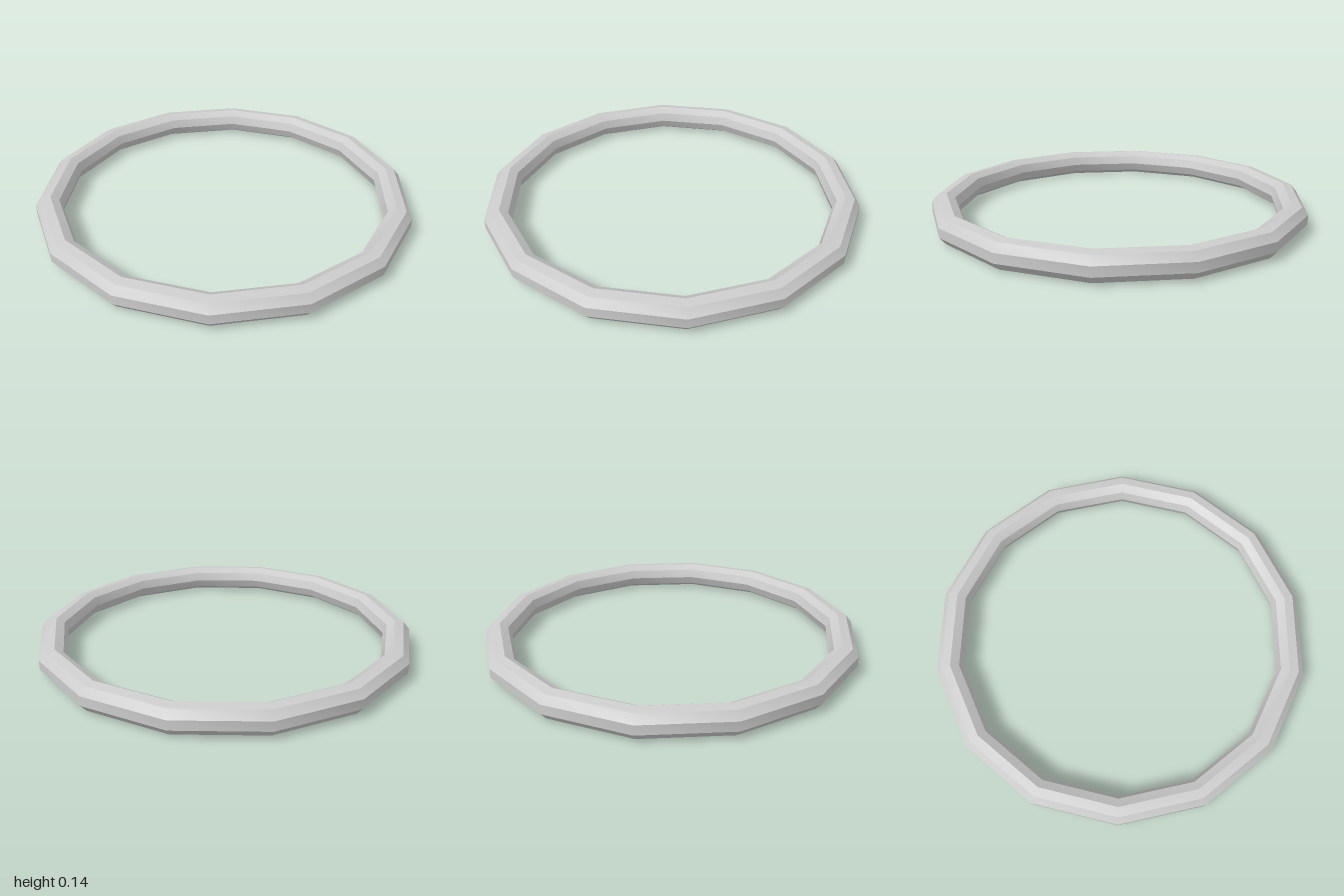
import * as THREE from 'three';
import { toCreasedNormals } from 'three/addons/utils/BufferGeometryUtils.js';

const RING_SIDES = 14;
const TUBE_SIDES = 9;
const TUBE_RADIUS = 0.0722;

export function createModel() {
  const group = new THREE.Group();
  group.name = 'ring';

  // Nine-sided cross-section with a flat face outward, closed on itself
  const step = (2 * Math.PI) / TUBE_SIDES;
  const centre = 1 - TUBE_RADIUS * Math.cos(step / 2);
  const lift = TUBE_RADIUS * Math.sin(2.5 * step);
  const profile = [];
  for (let i = 0; i <= TUBE_SIDES; i++) {
    const a = (i - 0.5) * step;
    profile.push(new THREE.Vector2(
      centre + TUBE_RADIUS * Math.cos(a),
      lift + TUBE_RADIUS * Math.sin(a)
    ));
  }

  // Swept around y with a corner on the x axis; smooth around the ring, creased across the tube
  const lathe = new THREE.LatheGeometry(profile, RING_SIDES, Math.PI / 2);
  const band = new THREE.Mesh(
    toCreasedNormals(lathe, THREE.MathUtils.degToRad(30)),
    new THREE.MeshStandardMaterial({ color: 0xcccccc })
  );
  band.name = 'ringBand';
  group.add(band);

  return group;
}
